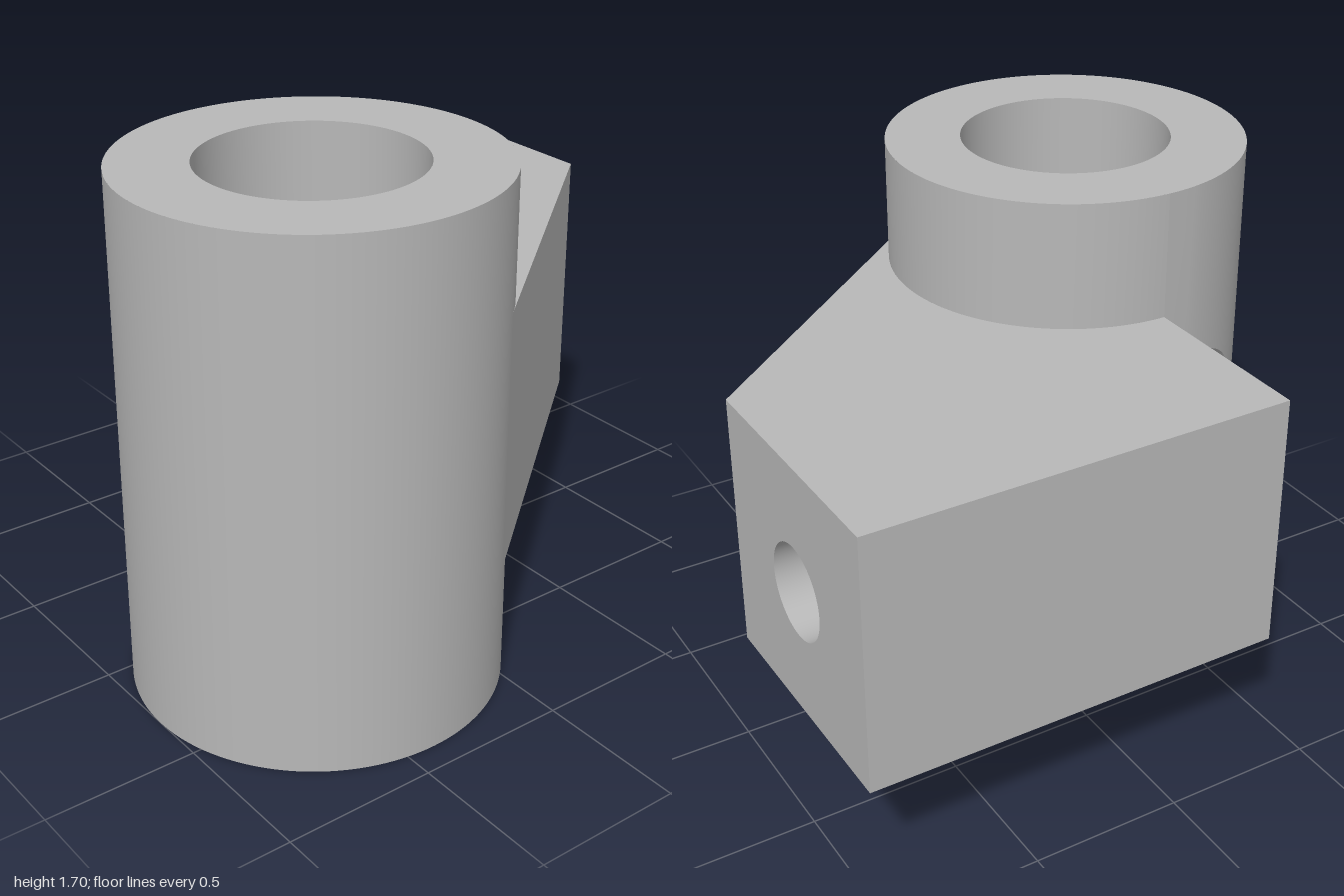
import * as THREE from 'three';

const CX = -0.405, CZ = 0.317, R = 0.595, BORE = 0.347, H = 1.7; // upright sleeve
const Y0 = 0.425, Y1 = 1.28, YC = 0.8525;                         // arm heights
const BACK = -0.912, PX = 1, PZ = -0.065;                         // arm outline
const HZ = -0.487, HR = 0.152, CUT = 0.347;                       // cross hole and its clearance cut
const SEG = 64;

// angles: where the slanted side touches the sleeve, and how far the cut wraps
const touch = Math.atan2(PZ - CZ, PX - CX) + Math.acos(R / Math.hypot(PX - CX, PZ - CZ));
const wrap = Math.acos((CZ - R - HZ) / CUT);
const range = (a, b, n) => Array.from({ length: n + 1 }, (_, i) => a + (b - a) * i / n);

// ruled surface between two rows of points
function strip(a, b) {
  const g = new THREE.BufferGeometry(), n = a.length, index = [];
  g.setAttribute('position', new THREE.Float32BufferAttribute([...a, ...b].flat(), 3));
  for (let i = 0; i < n - 1; i++) index.push(i, n + i, i + 1, n + i, n + i + 1, i + 1);
  g.setIndex(index);
  g.computeVertexNormals();
  return g;
}

// turn a surface inside out
function flip(g) {
  g.index.array.reverse();
  const n = g.attributes.normal;
  for (let i = 0; i < n.array.length; i++) n.array[i] *= -1;
  return g;
}

// vertical wall over a plan path of [x, z] points
const wall = (path, low, high) => strip(
  path.map(([x, z], i) => [x, low(i), z]), path.map(([x, z], i) => [x, high(i), z]));

const onSleeve = a => [CX + R * Math.cos(a), CZ + R * Math.sin(a)];

export function createModel() {
  const grey = new THREE.MeshStandardMaterial({ color: 0xb8b8b8, side: THREE.DoubleSide });
  grey.name = 'plain grey';
  const model = new THREE.Group();
  model.name = 'bracket';
  const sleeve = new THREE.Group(), arm = new THREE.Group();
  sleeve.name = 'sleeve';
  arm.name = 'arm';
  model.add(sleeve, arm);
  const add = (parent, name, g) => {
    const mesh = new THREE.Mesh(g, grey);
    mesh.name = name;
    parent.add(mesh);
  };

  // sleeve wall: above and below the arm, the plain arc, and around the cut
  const armArc = range(-Math.PI / 2, touch, SEG).map(onSleeve);
  add(sleeve, 'wallBelowArm', wall(armArc, () => 0, () => Y0));
  add(sleeve, 'wallAboveArm', wall(armArc, () => Y1, () => H));
  const cutStart = Math.PI + Math.asin((CZ - HZ - CUT) / R);
  add(sleeve, 'plainWall', wall(range(touch, cutStart, 96).map(onSleeve), () => 0, () => H));

  const phis = range(0, wrap, 32);
  const cutPoint = p => {
    const z = HZ + CUT * Math.cos(p);
    return [CX - Math.sqrt(Math.max(0, R * R - (z - CZ) ** 2)), z];
  };
  const cutArc = phis.map(cutPoint), rise = i => CUT * Math.sin(phis[i]);
  add(sleeve, 'wallBelowCut', wall(cutArc, () => 0, i => YC - rise(i)));
  add(sleeve, 'wallAboveCut', wall(cutArc, i => YC + rise(i), () => H));

  // round clearance cut in the sleeve, in line with the cross hole
  const around = range(-wrap, wrap, 64);
  const cutY = p => YC + CUT * Math.sin(p);
  add(sleeve, 'clearanceCut', strip(
    around.map(p => [CX, cutY(p), cutPoint(p)[1]]),
    around.map(p => [cutPoint(p)[0], cutY(p), cutPoint(p)[1]])));

  // bore and ring ends
  add(sleeve, 'bore', flip(new THREE.CylinderGeometry(BORE, BORE, H, 96, 1, true)).translate(CX, H / 2, CZ));
  const ring = () => new THREE.RingGeometry(BORE, R, 128).rotateX(-Math.PI / 2);
  add(sleeve, 'topRing', ring().translate(CX, H, CZ));
  add(sleeve, 'bottomRing', flip(ring()).translate(CX, 0, CZ));

  // arm top and bottom, curved where they meet the sleeve
  const plan = new THREE.Shape();
  plan.moveTo(CX, -BACK);
  plan.lineTo(CX, R - CZ);
  plan.absarc(CX, -CZ, R, Math.PI / 2, -touch, true);
  plan.lineTo(PX, -PZ);
  plan.lineTo(PX, -BACK);
  const face = () => new THREE.ShapeGeometry(plan, SEG).rotateX(-Math.PI / 2);
  add(arm, 'armTop', face().translate(0, Y1, 0));
  add(arm, 'armBottom', flip(face()).translate(0, Y0, 0));

  // flat back and slanted front
  const low = () => Y0, high = () => Y1;
  add(arm, 'armBack', wall([[CX, BACK], [PX, BACK]], low, high));
  add(arm, 'armSlant', wall([[PX, PZ], onSleeve(touch)], low, high));

  // end faces pierced by the cross hole
  const pierced = outline => {
    outline.holes.push(new THREE.Path().absarc(-HZ, YC, HR, 0, Math.PI * 2, true));
    return new THREE.ShapeGeometry(outline, 48).rotateY(Math.PI / 2);
  };
  const outer = new THREE.Shape();
  outer.moveTo(-PZ, Y0);
  outer.lineTo(-BACK, Y0);
  outer.lineTo(-BACK, Y1);
  outer.lineTo(-PZ, Y1);
  add(arm, 'armOuterEnd', pierced(outer).translate(PX, 0, 0));

  const inner = new THREE.Shape();
  inner.moveTo(-BACK, Y0);
  inner.lineTo(-BACK, Y1);
  inner.lineTo(R - CZ, Y1);
  inner.absarc(-HZ, YC, CUT, Math.PI - wrap, Math.PI + wrap, false);
  inner.lineTo(R - CZ, Y0);
  add(arm, 'armInnerEnd', flip(pierced(inner)).translate(CX, 0, 0));

  const hole = flip(new THREE.CylinderGeometry(HR, HR, PX - CX, 64, 1, true));
  add(arm, 'crossHole', hole.rotateZ(Math.PI / 2).translate((PX + CX) / 2, YC, HZ));

  return model;
}
